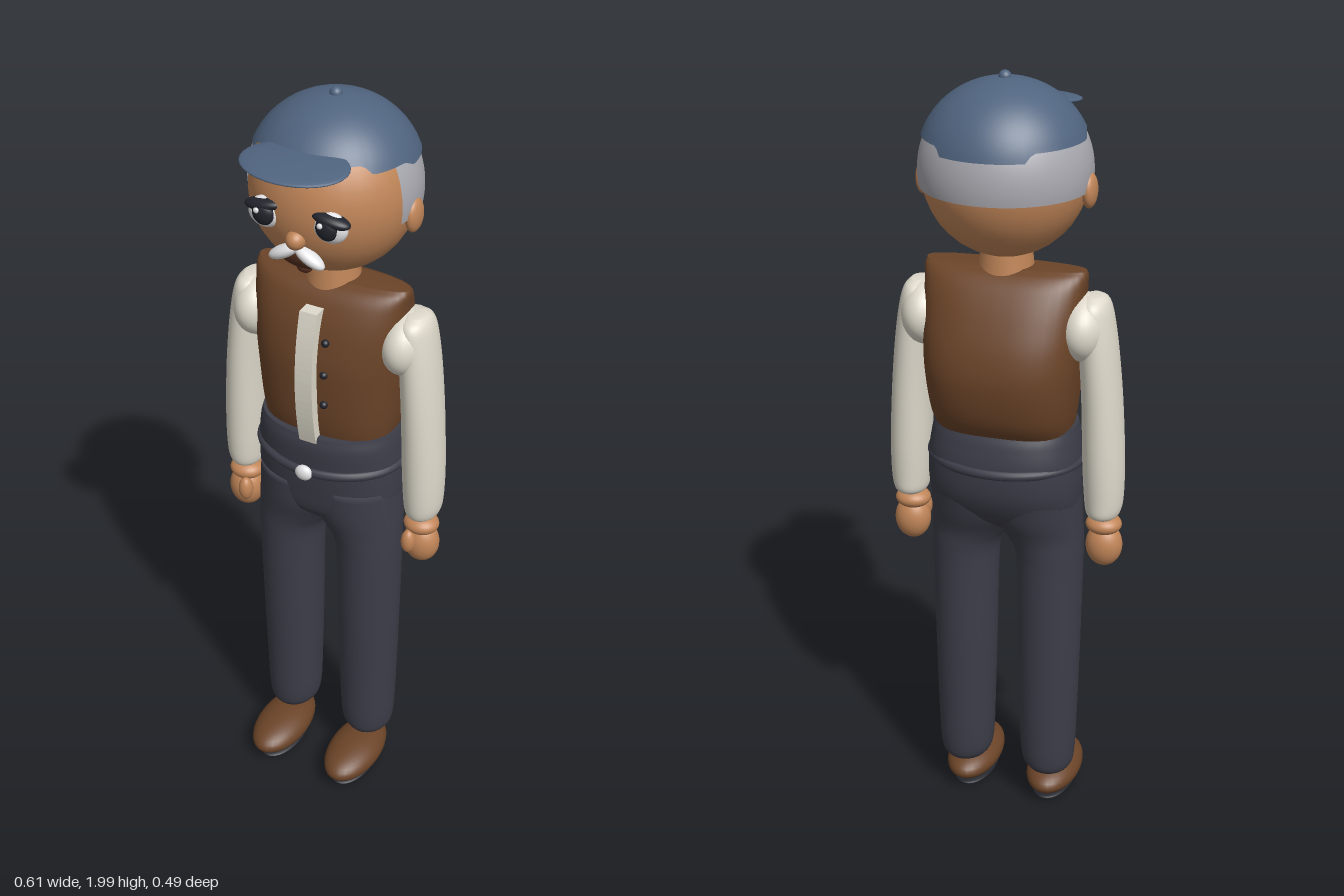
import * as THREE from 'three';

const mat = (name, color) => Object.assign(new THREE.MeshStandardMaterial({ color }), { name });
const skin = mat('skin', 0xc08558), blue = mat('capBlue', 0x50647f), brown = mat('brownLeather', 0x6b4428);
const cream = mat('creamCloth', 0xded9cb), slate = mat('slateCloth', 0x3d3d49), grey = mat('greyHair', 0xa9a9b0);
const white = mat('white', 0xe4e4e6), dark = mat('dark', 0x22242c), mouthBrown = mat('mouthBrown', 0x54301f);
blue.side = grey.side = THREE.DoubleSide;

export function createModel() {
  const root = new THREE.Group();
  const add = (name, geo, material, parent = root) => {
    const m = new THREE.Mesh(geo, material);
    m.name = name;
    parent.add(m);
    return m;
  };
  const ball = (name, material, pos, size, rotZ = 0, rotX = 0) => {
    const m = add(name, new THREE.SphereGeometry(1, 32, 20), material);
    m.position.set(...pos);
    m.scale.set(...size);
    m.rotation.set(rotX, 0, rotZ);
    return m;
  };

  // Closed body through smooth superellipse rings, bottom to top: [y, left x, right x, back z, front z]
  function loft(rings, power = 2, steps = 40, sides = 40) {
    const xs = new THREE.CatmullRomCurve3(rings.map(r => new THREE.Vector3(r[0], r[1], r[2])), false, 'catmullrom', 0.5);
    const zs = new THREE.CatmullRomCurve3(rings.map(r => new THREE.Vector3(r[3], r[4], 0)), false, 'catmullrom', 0.5);
    const pos = [], idx = [];
    const bend = v => Math.sign(v) * Math.abs(v) ** (2 / power);
    for (let i = 0; i <= steps; i++) {
      const a = xs.getPoint(i / steps), b = zs.getPoint(i / steps);
      for (let j = 0; j < sides; j++) {
        const t = j / sides * Math.PI * 2;
        pos.push((a.y + a.z) / 2 + bend(Math.sin(t)) * (a.z - a.y) / 2, a.x,
          (b.x + b.y) / 2 + bend(Math.cos(t)) * (b.y - b.x) / 2);
        if (i < steps) {
          const p = i * sides + j, q = i * sides + (j + 1) % sides;
          idx.push(p, q, p + sides, q, q + sides, p + sides);
        }
      }
    }
    // End caps
    for (const [ring, end] of [[rings[0], 0], [rings.at(-1), steps]]) {
      const c = pos.length / 3;
      pos.push((ring[1] + ring[2]) / 2, ring[0], (ring[3] + ring[4]) / 2);
      for (let j = 0; j < sides; j++) {
        const p = end * sides + j, q = end * sides + (j + 1) % sides;
        idx.push(c, ...(end ? [p, q] : [q, p]));
      }
    }
    const g = new THREE.BufferGeometry();
    g.setAttribute('position', new THREE.Float32BufferAttribute(pos, 3));
    g.setIndex(idx);
    g.computeVertexNormals();
    return g;
  }

  // Ellipsoid band between two heights, which may vary with the angle from the front
  function band(center, radius, from, to, topY, bottomY) {
    const g = new THREE.SphereGeometry(1, 96, 20, 0, Math.PI * 2, 0.1, 2);
    const p = g.attributes.position, uv = g.attributes.uv;
    const theta = y => Math.acos(THREE.MathUtils.clamp((y - center[1]) / radius[1], -1, 1));
    for (let i = 0; i < p.count; i++) {
      const az = THREE.MathUtils.degToRad(from + (to - from) * uv.getX(i));
      const deg = Math.abs(180 - Math.abs(THREE.MathUtils.radToDeg(az) - 180));
      const t = THREE.MathUtils.lerp(theta(topY), theta(bottomY(deg)), 1 - uv.getY(i));
      p.setXYZ(i, center[0] + radius[0] * Math.sin(t) * Math.sin(az), center[1] + radius[1] * Math.cos(t),
        center[2] + radius[2] * Math.sin(t) * Math.cos(az));
    }
    g.computeVertexNormals();
    return g;
  }

  // Head, neck and hair
  ball('head', skin, [0, 1.765, -0.035], [0.2, 0.205, 0.198]);
  add('neck', new THREE.CylinderGeometry(0.06, 0.07, 0.1, 32), skin).position.set(0, 1.55, -0.03);
  add('hair', band([0, 1.765, -0.035], [0.207, 0.211, 0.204], 74, 286, 1.875, () => 1.73), grey);

  // Cap with a stepped rim, visor and button
  const step = THREE.MathUtils.smoothstep;
  const rim = d => 1.885 - 0.02 * step(d, 46, 54) - 0.015 * step(d, 80, 92) - 0.02 * step(d, 144, 150);
  add('cap', band([0, 1.79, -0.04], [0.205, 0.19, 0.205], 0, 360, 1.98, rim), blue);
  ball('visor', blue, [0, 1.892, 0.155], [0.13, 0.012, 0.09], 0, 0.08);
  ball('capButton', blue, [0, 1.98, -0.04], [0.015, 0.015, 0.015]);

  // Face
  ball('nose', skin, [0, 1.705, 0.15], [0.024, 0.024, 0.028]);
  ball('mouth', mouthBrown, [0, 1.645, 0.125], [0.055, 0.03, 0.018], 0, 0.5);
  ball('chinTuft', mouthBrown, [0, 1.618, 0.112], [0.02, 0.016, 0.014]);
  for (const s of [-1, 1]) {
    ball('ear', skin, [s * 0.203, 1.73, -0.035], [0.018, 0.042, 0.034]);
    ball('eyeWhite', white, [s * 0.082, 1.752, 0.142], [0.043, 0.038, 0.022]);
    ball('iris', dark, [s * 0.08, 1.754, 0.155], [0.028, 0.029, 0.018]);
    ball('eyeGlint', white, [s * 0.08 - 0.01, 1.765, 0.171], [0.007, 0.007, 0.005]);
    ball('upperLid', dark, [s * 0.085, 1.772, 0.145], [0.048, 0.015, 0.024], -s * 0.15);
    ball('moustache', white, [s * 0.033, 1.667, 0.15], [0.042, 0.016, 0.02], -s * 0.5);
  }

  // Vest, shirt front and buttons
  add('vest', loft([
    [1.1, -0.165, 0.165, -0.135, 0.075], [1.17, -0.18, 0.18, -0.185, 0.092], [1.27, -0.19, 0.19, -0.207, 0.1],
    [1.35, -0.195, 0.195, -0.197, 0.1], [1.43, -0.198, 0.198, -0.165, 0.085], [1.49, -0.2, 0.2, -0.13, 0.06],
    [1.52, -0.202, 0.202, -0.1, 0.035], [1.535, -0.198, 0.198, -0.07, 0.005],
  ], 2.6), brown);
  const strip = new THREE.Shape();
  strip.moveTo(0.05, 1.12).lineTo(0.105, 1.12);
  strip.quadraticCurveTo(0.15, 1.31, 0.098, 1.485).lineTo(0.04, 1.485);
  const stripGeo = new THREE.ExtrudeGeometry(strip, { depth: 0.046, bevelEnabled: false, curveSegments: 20 });
  stripGeo.rotateY(-Math.PI / 2).translate(0.023, 0, 0);
  add('shirtFront', stripGeo, cream);
  for (const y of [1.24, 1.325, 1.41]) ball('vestButton', dark, [0.042, y, y > 1.4 ? 0.092 : 0.1], [0.01, 0.01, 0.01]);

  // Hips and belt
  add('hips', loft([
    [0.85, -0.15, 0.15, -0.09, 0.05], [0.89, -0.185, 0.185, -0.135, 0.085], [0.96, -0.196, 0.196, -0.17, 0.098],
    [1.04, -0.195, 0.195, -0.178, 0.105], [1.1, -0.188, 0.188, -0.168, 0.108], [1.135, -0.18, 0.18, -0.155, 0.1],
  ], 2.3), slate);
  const belt = add('belt', new THREE.TorusGeometry(0.19, 0.012, 12, 64), slate);
  belt.rotation.x = Math.PI / 2;
  belt.scale.set(1, 0.8, 1);
  belt.position.set(0, 1.04, -0.032);
  ball('buckle', white, [0, 1.04, 0.127], [0.023, 0.021, 0.014]);

  // Limbs, built for the +x side and mirrored by s
  const flip = (rings, s) => rings.map(([y, a, b, c, d]) => s > 0 ? [y, a, b, c, d] : [y, -b, -a, c, d]);
  const leg = [
    [0.1, 0.09, 0.145, -0.055, 0.01], [0.115, 0.06, 0.175, -0.087, 0.038], [0.16, 0.043, 0.187, -0.1, 0.05],
    [0.3, 0.037, 0.192, -0.104, 0.055], [0.5, 0.032, 0.196, -0.106, 0.062], [0.7, 0.028, 0.199, -0.107, 0.068],
    [0.78, 0.02, 0.2, -0.11, 0.071], [0.83, -0.01, 0.199, -0.117, 0.076], [0.89, -0.05, 0.197, -0.14, 0.088],
    [0.97, -0.06, 0.194, -0.16, 0.094],
  ];
  const sleeve = [
    [0.895, 0.225, 0.285, -0.07, 0.005], [0.91, 0.212, 0.297, -0.09, 0.02], [0.95, 0.206, 0.304, -0.095, 0.027],
    [1.05, 0.2, 0.304, -0.1, 0.032], [1.2, 0.195, 0.295, -0.102, 0.036], [1.33, 0.187, 0.282, -0.104, 0.037],
    [1.42, 0.18, 0.268, -0.102, 0.035], [1.46, 0.185, 0.256, -0.09, 0.025], [1.477, 0.2, 0.24, -0.06, -0.005],
  ];
  for (const s of [-1, 1]) {
    add('trouserLeg', loft(flip(leg, s)), slate);
    add('sleeve', loft(flip(sleeve, s)), cream);
    ball('shoulder', cream, [s * 0.2, 1.395, -0.036], [0.062, 0.083, 0.096]);

    // Hand
    ball('wrist', skin, [s * 0.255, 0.87, -0.028], [0.046, 0.026, 0.043]);
    ball('hand', skin, [s * 0.257, 0.812, -0.028], [0.047, 0.058, 0.042]);
    ball('thumb', skin, [s * 0.238, 0.83, 0.012], [0.019, 0.034, 0.02]);

    // Shoe
    ball('shoe', brown, [s * 0.115, 0.057, 0.048], [0.072, 0.045, 0.133]);
    ball('sole', dark, [s * 0.113, 0.012, 0.048], [0.056, 0.011, 0.108]);
  }
  return root;
}
